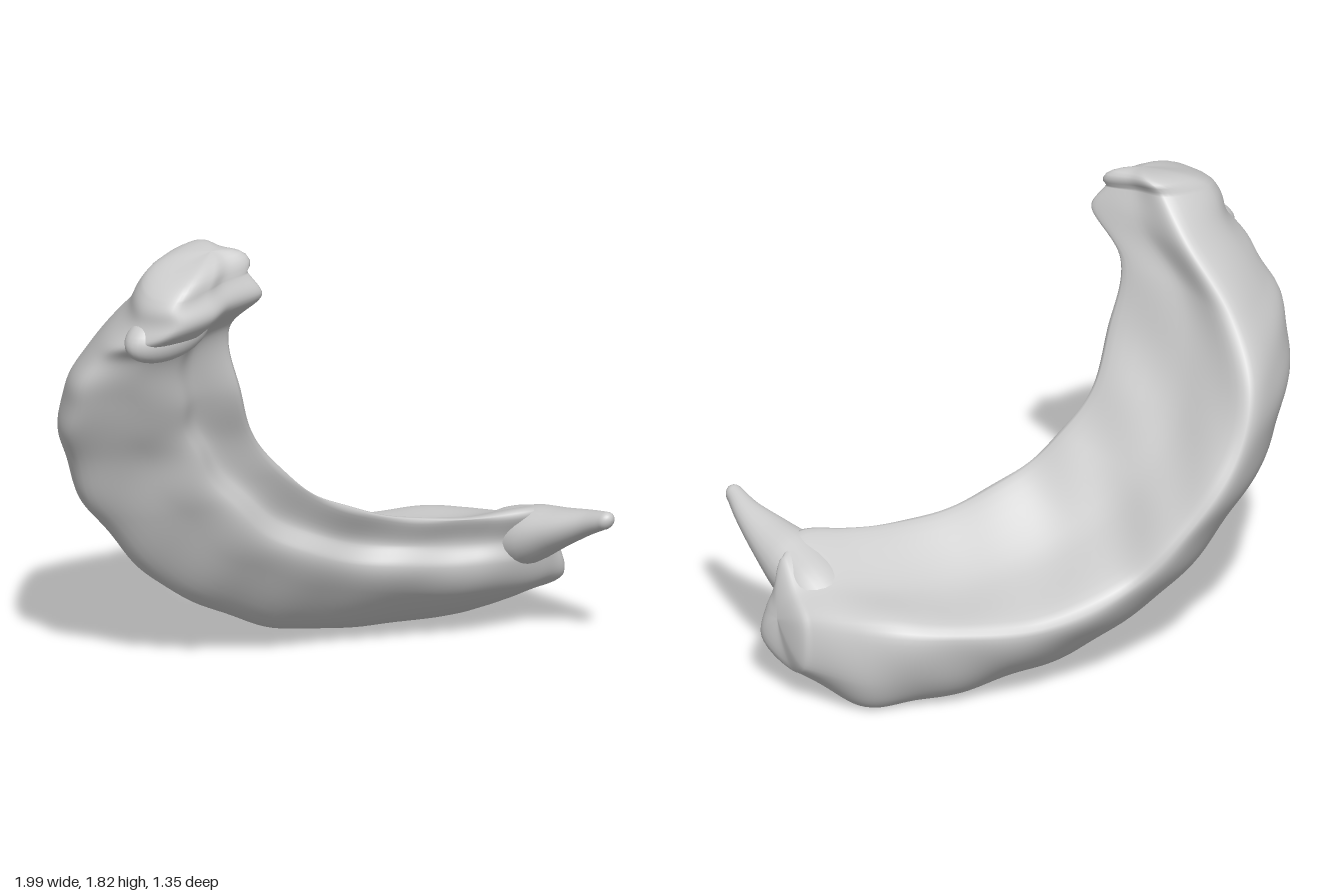
import * as THREE from 'three';

const material = new THREE.MeshStandardMaterial({ color: 0xcccccc, side: THREE.DoubleSide });
const V = (x, y, z) => new THREE.Vector3(x, y, z);
const rail = (pts) => new THREE.CatmullRomCurve3(pts.map((p) => V(...p)));

// Skin a list of rings (each a closed loop of Vector3) into a smooth surface
function loft(rings) {
  const n = rings[0].length, pos = [], idx = [];
  rings.forEach((r) => r.forEach((p) => pos.push(p.x, p.y, p.z)));
  for (let i = 0; i < rings.length - 1; i++) {
    for (let j = 0; j < n; j++) {
      const a = i * n + j, b = i * n + (j + 1) % n;
      idx.push(a, b, a + n, b, b + n, a + n);
    }
  }
  const g = new THREE.BufferGeometry();
  g.setAttribute('position', new THREE.Float32BufferAttribute(pos, 3));
  g.setIndex(idx);
  g.computeVertexNormals();
  return g;
}

// Rounded end: the ring shrinks to its centre while moving along dir
function capRings(ring, dir, steps = 7) {
  const c = ring.reduce((s, p) => s.add(p), V(0, 0, 0)).divideScalar(ring.length);
  return Array.from({ length: steps }, (_, k) => {
    const a = ((k + 1) / steps) * Math.PI / 2;
    return ring.map((p) => p.clone().sub(c).multiplyScalar(k === steps - 1 ? 0 : Math.cos(a))
      .add(c).addScaledVector(dir, Math.sin(a)));
  });
}

// Four long edges of the curved band, from the upper end to the lower end
const innerFront = rail([[-0.46, 1.73, 0.13], [-0.41, 1.64, 0.165], [-0.45, 1.47, 0.02], [-0.39, 1.2, 0],
  [-0.3, 1.0, -0.03], [-0.18, 0.83, 0], [0, 0.68, 0.05], [0.3, 0.56, 0.13], [0.6, 0.53, 0.26],
  [0.77, 0.53, 0.32], [0.88, 0.5, 0.24]]);
const outerFront = rail([[-0.8, 1.7, 0.14], [-0.85, 1.58, 0.15], [-0.86, 1.42, 0.0], [-0.81, 1.18, -0.1],
  [-0.71, 0.95, -0.17], [-0.55, 0.7, -0.16], [-0.29, 0.44, -0.11], [0.1, 0.28, 0.0], [0.5, 0.22, 0.15],
  [0.8, 0.2, 0.24], [0.97, 0.2, 0.22]]);
const outer = rail([[-0.84, 1.7, 0.02], [-0.91, 1.55, -0.01], [-0.96, 1.4, -0.15], [-0.99, 1.2, -0.23],
  [-0.92, 0.95, -0.33], [-0.76, 0.66, -0.36], [-0.39, 0.28, -0.32], [0.1, 0.06, -0.25], [0.5, 0.01, -0.2],
  [0.78, 0.02, -0.14], [0.94, 0.12, 0.05]]);
const backCrest = rail([[-0.56, 1.77, -0.1], [-0.58, 1.62, -0.24], [-0.65, 1.38, -0.43], [-0.63, 1.15, -0.6],
  [-0.53, 0.92, -0.67], [-0.34, 0.69, -0.67], [-0.13, 0.47, -0.6], [0.2, 0.36, -0.53], [0.56, 0.36, -0.38],
  [0.79, 0.37, -0.21], [0.93, 0.35, -0.02]]);

// Cross-section: four edges plus a grooved front, hollow inner face and rounded back
function section(t) {
  const [f, of, o, b] = [innerFront, outerFront, outer, backCrest].map((r) => r.getPoint(t));
  const swell = Math.sin(Math.PI * t);
  const folds = Math.sin(t * 58) * 0.014 * (1 - t * 0.6);
  const outward = o.clone().sub(f).normalize();
  o.addScaledVector(outward, folds * 0.6);
  of.addScaledVector(outward, folds);
  const groove = f.clone().lerp(of, 0.36).lerp(b, 0.05 * swell);
  const ridge = f.clone().lerp(of, 0.62).add(V(0, 0, 0.015 + 0.025 * swell));
  const back = o.clone().lerp(b, 0.5);
  back.addScaledVector(back.clone().sub(f).normalize(), 0.08 - 0.02 * swell);
  const hollow = f.clone().lerp(b, 0.5).lerp(o, 0.07 * swell + 0.01);
  const loop = new THREE.CatmullRomCurve3([f, groove, ridge, of, o, back, b, hollow], true);
  return Array.from({ length: 64 }, (_, j) => loop.getPoint(j / 64));
}

function band() {
  const rings = Array.from({ length: 141 }, (_, i) => section(i / 140));
  const top = capRings(rings[0], V(0.08, 0.09, 0)).reverse();
  const end = capRings(rings[140], V(0.04, 0, 0.01));
  const g = loft([...top, ...rings, ...end]);
  // Slight uneven surface
  const p = g.attributes.position, n = g.attributes.normal;
  for (let i = 0; i < p.count; i++) {
    const x = p.getX(i), y = p.getY(i), z = p.getZ(i);
    const d = 0.006 * Math.sin(13 * x + 5 * z) * Math.sin(11 * y - 9 * z + 1);
    p.setXYZ(i, x + d * n.getX(i), y + d * n.getY(i), z + d * n.getZ(i));
  }
  g.computeVertexNormals();
  return g;
}

// Pointed prong growing out of the lower end: centre path with shrinking oval sections
function prong() {
  const path = rail([[0.78, 0.3, -0.04], [0.79, 0.37, 0.14], [0.795, 0.42, 0.28], [0.82, 0.475, 0.41],
    [0.845, 0.53, 0.54], [0.845, 0.565, 0.63]]);
  const size = rail([[0.08, 0.08, 0], [0.13, 0.12, 0], [0.125, 0.115, 0], [0.095, 0.08, 0],
    [0.055, 0.05, 0], [0.035, 0.035, 0]]);
  const rings = Array.from({ length: 31 }, (_, i) => {
    const c = path.getPoint(i / 30), s = size.getPoint(i / 30);
    return Array.from({ length: 24 }, (_, j) => {
      const a = (j / 24) * Math.PI * 2;
      return V(c.x + s.x * Math.cos(a), c.y + s.y * Math.sin(a), c.z);
    });
  });
  return loft([...rings, ...capRings(rings[30], V(0, 0.01, 0.035))]);
}

export function createModel() {
  const group = new THREE.Group();
  const add = (name, geometry) => {
    const mesh = new THREE.Mesh(geometry, material);
    mesh.name = name;
    group.add(mesh);
    return mesh;
  };
  add('curvedBand', band());
  add('frontProng', prong());
  // Swollen ledge below the upper end
  const ledge = add('sideLedge', new THREE.SphereGeometry(1, 32, 20));
  ledge.scale.set(0.19, 0.1, 0.1);
  ledge.position.set(-0.75, 1.525, 0.015);
  ledge.rotation.z = 0.12;
  return group;
}
